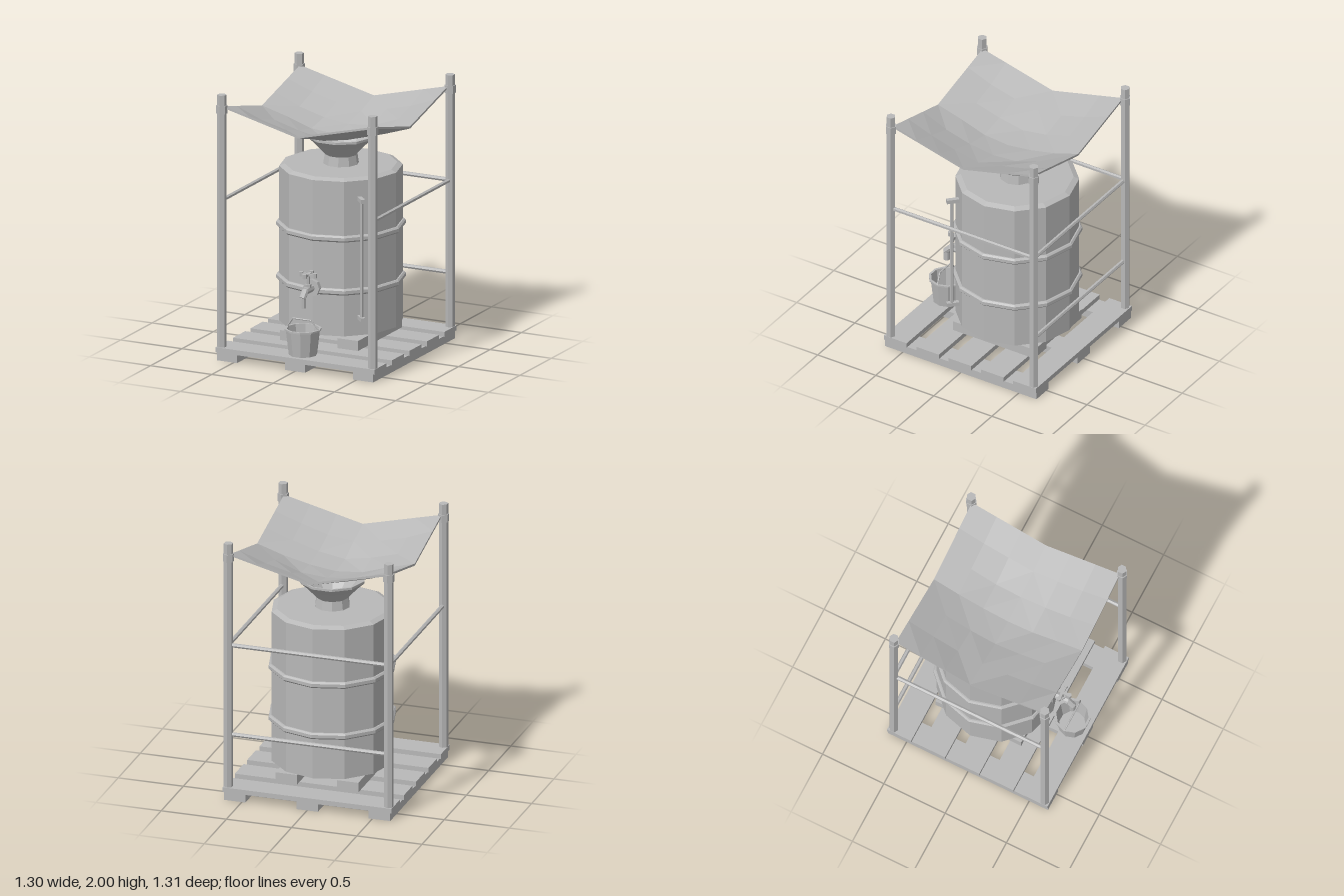
import * as THREE from 'three';

const grey = new THREE.MeshStandardMaterial({ color: 0xb8b8b8, flatShading: true });
grey.name = 'plain grey';

export function createModel() {
  const model = new THREE.Group();

  function add(name, geometry, x = 0, y = 0, z = 0, parent = model) {
    const mesh = new THREE.Mesh(geometry, grey);
    mesh.name = name;
    mesh.position.set(x, y, z);
    parent.add(mesh);
    return mesh;
  }
  const box = (w, h, d) => new THREE.BoxGeometry(w, h, d);
  const rod = (r, len, sides = 6) => new THREE.CylinderGeometry(r, r, len, sides);
  // Lathe from [radius, y] pairs, outside running upwards, first corner on +x
  const lathe = (pairs, sides) =>
    new THREE.LatheGeometry(pairs.map(([r, y]) => new THREE.Vector2(r, y)), sides, Math.PI / 2);
  // Straight rod joining two points
  function strut(name, a, b, r, sides = 6, parent = model) {
    const from = new THREE.Vector3(...a), to = new THREE.Vector3(...b);
    const dir = to.clone().sub(from);
    const mesh = add(name, rod(r, dir.length(), sides), 0, 0, 0, parent);
    mesh.position.copy(from).addScaledVector(dir, 0.5);
    mesh.quaternion.setFromUnitVectors(new THREE.Vector3(0, 1, 0), dir.normalize());
    return mesh;
  }

  // Pallet: three runners under five slats
  for (const x of [-0.555, 0, 0.555]) add('palletRunner', box(0.165, 0.06, 1.304), x, 0.03, 0);
  for (let i = -2; i <= 2; i++) add('palletSlat', box(1.296, 0.037, 0.195), 0, 0.0785, i * 0.2825 * 0.985);

  // Posts with collars
  const P = 0.615;
  for (const x of [-P, P]) for (const z of [-P, P]) {
    add('post', rod(0.035, 1.905), x, 1.0475, z);
    add('postCollar', rod(0.042, 0.06), x, 1.89, z);
  }

  // Rails on the sides and back
  for (const x of [-P, P]) strut('sideRail', [x, 1.203, -P], [x, 1.203, P], 0.016);
  for (const y of [0.505, 1.203]) strut('backRail', [-P, y, -P], [P, y, -P], 0.016);

  // Barrel on two blocks
  const bz = -0.08;
  for (const x of [-0.235, 0.235]) add('barrelBlock', box(0.165, 0.075, 0.7), x, 0.1345, bz);
  add('barrel', lathe([[0, 0.175], [0.45, 0.205], [0.45, 1.372], [0.41, 1.39], [0, 1.39]], 12), 0, 0, bz);
  for (const y of [0.54, 0.94]) {
    add('barrelBand', lathe([[0.44, -0.024], [0.46, -0.024], [0.472, -0.012], [0.472, 0.012],
      [0.46, 0.024], [0.44, 0.024]], 12), 0, y, bz);
  }

  // Neck and funnel
  add('neck', lathe([[0.132, 1.385], [0.12, 1.46]], 10), 0, 0, bz);
  add('funnel', lathe([[0.115, 1.458], [0.19, 1.54], [0.245, 1.59], [0.245, 1.607], [0.23, 1.607],
    [0.18, 1.555], [0.1, 1.465], [0, 1.465]], 10), 0, 0, bz);

  add('rainSheet', sheetGeometry());

  // Tap
  const tap = new THREE.Group();
  tap.name = 'tap';
  model.add(tap);
  const flange = add('tapFlange', rod(0.066, 0.035, 8), 0, 0.563, 0.377, tap);
  flange.rotation.x = Math.PI / 2;
  strut('tapBody', [0, 0.563, 0.38], [0, 0.563, 0.495], 0.028, 8, tap);
  strut('tapBend', [0, 0.568, 0.483], [0, 0.515, 0.535], 0.025, 8, tap);
  strut('tapNozzle', [0, 0.525, 0.527], [0, 0.447, 0.527], 0.024, 8, tap);
  strut('tapStemBase', [0, 0.57, 0.445], [0, 0.605, 0.445], 0.024, 6, tap);
  strut('tapStem', [0, 0.59, 0.445], [0, 0.68, 0.445], 0.013, 6, tap);
  add('tapHandleBar', box(0.12, 0.018, 0.022), 0, 0.677, 0.445, tap);
  add('tapHandleBar', box(0.022, 0.018, 0.12), 0, 0.677, 0.445, tap);
  for (let i = 0; i < 4; i++) {
    const a = i * Math.PI / 2;
    add('tapHandleKnob', rod(0.017, 0.032), Math.sin(a) * 0.056, 0.677, 0.445 + Math.cos(a) * 0.056, tap);
  }

  // Level gauge pipe on two radial brackets
  const gauge = new THREE.Group();
  gauge.name = 'levelGauge';
  gauge.position.z = bz;
  gauge.rotation.y = Math.PI / 4;
  model.add(gauge);
  for (const y of [0.342, 1.237]) add('gaugeBracket', box(0.032, 0.03, 0.125), 0, y, 0.463, gauge);
  add('gaugePipe', rod(0.013, 0.895), 0, 0.79, 0.487, gauge);

  // Bucket with handle
  const bucket = new THREE.Group();
  bucket.name = 'bucket';
  bucket.position.z = 0.525;
  model.add(bucket);
  add('bucketBody', lathe([[0, 0.098], [0.104, 0.098], [0.126, 0.283], [0.137, 0.283], [0.137, 0.295],
    [0.119, 0.295], [0.097, 0.115], [0, 0.115]], 10), 0, 0, 0, bucket);
  const handle = [[-0.13, 0.288, 0], [-0.075, 0.364, 0.015], [0.075, 0.364, 0.015], [0.13, 0.288, 0]];
  for (let i = 0; i < 3; i++) strut('bucketHandle', handle[i], handle[i + 1], 0.006, 6, bucket);

  return model;
}

// Sagging sheet: a 6 x 6 grid with thickness, creased across the fall line
function sheetGeometry() {
  const sag = [0, 0.025, 0.08, 0.14], straight = [0, 0.05, 0.1, 0.15];
  const n = 6, half = 0.604, thick = 0.016, out = [];
  const point = (i, j, drop) => {
    const a = Math.abs(i - 3), b = Math.abs(j - 3);
    const lo = Math.min(a, b), hi = Math.max(a, b);
    const taut = Math.pow(hi / 3, 3) * (straight[lo] - sag[lo]);
    const ripple = hi < 3 ? 0.006 * Math.sin(i * 2.3 + j * 4.1) : 0;
    return [(i / 3 - 1) * half, 1.622 + sag[a] + sag[b] + taut + ripple - drop, (j / 3 - 1) * half];
  };
  const tri = (a, b, c) => out.push(...a, ...b, ...c);
  for (let i = 0; i < n; i++) for (let j = 0; j < n; j++) {
    for (const drop of [0, thick]) {
      const c = [point(i, j, drop), point(i, j + 1, drop), point(i + 1, j + 1, drop), point(i + 1, j, drop)];
      const s = (i < 3) === (j < 3) ? 1 : 0;
      const tris = [[s, s + 1, s + 2], [s, s + 2, (s + 3) % 4]];
      for (const [p, q, r] of tris) {
        if (drop) tri(c[p], c[r % 4], c[q]);
        else tri(c[p], c[q], c[r % 4]);
      }
    }
  }
  // Rim, walked anticlockwise from above
  for (let k = 0; k < n; k++) {
    const edges = [[k, n, k + 1, n], [n, n - k, n, n - k - 1], [n - k, 0, n - k - 1, 0], [0, k, 0, k + 1]];
    for (const [i, j, p, q] of edges) {
      const a = point(i, j, 0), b = point(p, q, 0), c = point(p, q, thick), d = point(i, j, thick);
      tri(a, d, c);
      tri(a, c, b);
    }
  }
  const geometry = new THREE.BufferGeometry();
  geometry.setAttribute('position', new THREE.Float32BufferAttribute(out, 3));
  geometry.computeVertexNormals();
  return geometry;
}
